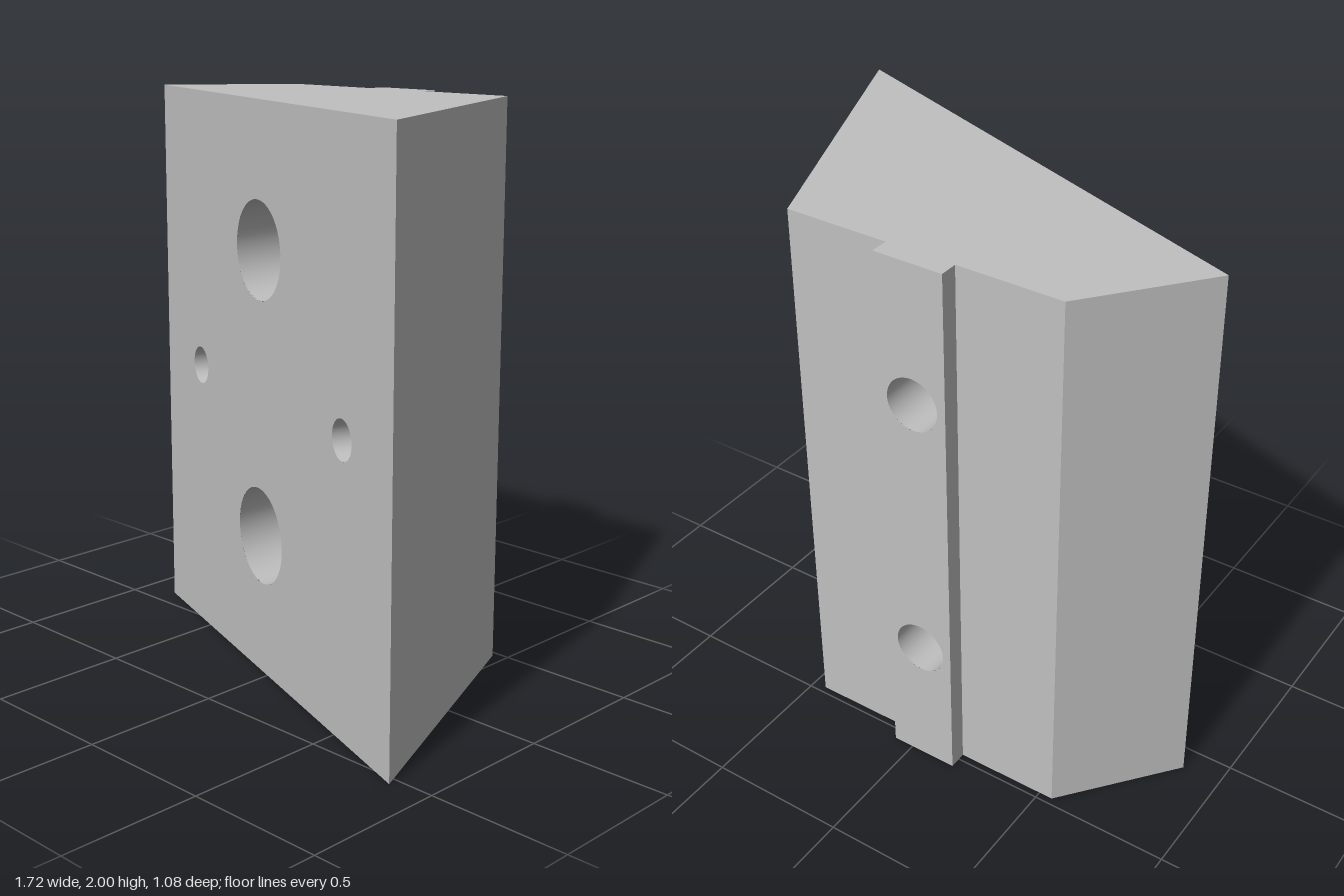
import * as THREE from 'three';

const H = 2, SEG = 48;
// Plan outline as [x, z]; the first edge is the slanted front
const OUTLINE = [
  [-0.86, -0.09], [0.86, 0.535], [0.45, -0.475], [0.075, -0.475],
  [0.075, -0.54], [-0.175, -0.54], [-0.175, -0.475], [-0.55, -0.475],
];
const SLOPE = 0.625 / 1.72, TILT = Math.atan(SLOPE);
const frontZ = (x) => -0.09 + (x + 0.86) * SLOPE;
const BACK_Z = -0.54, FLOOR_Z = -0.2;
const BOLT_X = -0.05, BOLT_Y = [0.5, 1.5], BOLT_R = 0.095, BORE_R = 0.17;
const PIN_X = [-0.55, 0.545], PIN_R = 0.068, PIN_DEPTH = 0.21;

const material = new THREE.MeshStandardMaterial({ color: 0xc0c0c0 });
material.name = 'grey';

function add(parent, name, geometry) {
  const mesh = new THREE.Mesh(geometry, material);
  mesh.name = name;
  parent.add(mesh);
  return mesh;
}

// Rectangle with elliptical holes [x, y, rx, ry]
function plate(x0, x1, holes) {
  const shape = new THREE.Shape([
    new THREE.Vector2(x0, 0), new THREE.Vector2(x1, 0),
    new THREE.Vector2(x1, H), new THREE.Vector2(x0, H),
  ]);
  for (const [x, y, rx, ry] of holes) {
    const path = new THREE.Path();
    path.absellipse(x, y, rx, ry, 0, Math.PI * 2, true);
    shape.holes.push(path);
  }
  return new THREE.ShapeGeometry(shape, SEG);
}

// Inward-facing tube along z from z = 0 (back) to z = depth
function boreWall(radius, depth) {
  const g = new THREE.CylinderGeometry(radius, radius, depth, SEG, 1, true);
  g.rotateX(Math.PI / 2).translate(0, 0, depth / 2);
  g.setIndex(Array.from(g.index.array).reverse());
  const n = g.attributes.normal;
  for (let i = 0; i < n.count; i++) n.setXYZ(i, -n.getX(i), -n.getY(i), -n.getZ(i));
  return g;
}

// Lay the front end of a geometry onto the slanted face
function ontoSlant(g, minZ) {
  const p = g.attributes.position;
  for (let i = 0; i < p.count; i++) if (p.getZ(i) > minZ) p.setZ(i, frontZ(p.getX(i)));
  return g;
}

export function createModel() {
  const model = new THREE.Group();
  model.name = 'wedgeBlock';

  // Top and bottom caps
  const cap = (sign) => new THREE.ShapeGeometry(
    new THREE.Shape(OUTLINE.map(([x, z]) => new THREE.Vector2(x, sign * z))));
  add(model, 'topFace', cap(-1).rotateX(-Math.PI / 2)).position.y = H;
  add(model, 'bottomFace', cap(1).rotateX(Math.PI / 2));

  // Plain walls, skipping the drilled front (0) and rib face (4)
  OUTLINE.forEach(([x, z], i) => {
    if (i === 0 || i === 4) return;
    const [x2, z2] = OUTLINE[(i + 1) % OUTLINE.length];
    const wall = add(model, 'sideWall', new THREE.PlaneGeometry(Math.hypot(x2 - x, z2 - z), H));
    wall.position.set((x + x2) / 2, H / 2, (z + z2) / 2);
    wall.rotation.y = Math.atan2(z - z2, x2 - x);
  });

  // Slanted front with all four openings
  const front = ontoSlant(plate(-0.86, 0.86, [
    ...BOLT_Y.map((y) => [BOLT_X, y, BORE_R, BORE_R]),
    ...PIN_X.map((x) => [x, 1, PIN_R * Math.cos(TILT), PIN_R]),
  ]), -1);
  front.computeVertexNormals();
  add(model, 'frontFace', front);

  // Rib face with the bolt exits
  const rib = plate(-0.075, 0.175, BOLT_Y.map((y) => [-BOLT_X, y, BOLT_R, BOLT_R]));
  add(model, 'ribFace', rib.rotateY(Math.PI).translate(0, 0, BACK_Z));

  // Counterbored bolt holes
  for (const y of BOLT_Y) {
    const hole = new THREE.Group();
    hole.name = 'boltHole';
    model.add(hole);
    const wide = boreWall(BORE_R, 0.4).translate(BOLT_X, y, FLOOR_Z);
    add(hole, 'counterbore', ontoSlant(wide, FLOOR_Z + 0.1));
    add(hole, 'counterboreFloor', new THREE.RingGeometry(BOLT_R, BORE_R, SEG))
      .position.set(BOLT_X, y, FLOOR_Z);
    add(hole, 'throughBore', boreWall(BOLT_R, FLOOR_Z - BACK_Z))
      .position.set(BOLT_X, y, BACK_Z);
  }

  // Blind pin holes square to the slanted front
  for (const x of PIN_X) {
    const hole = new THREE.Group();
    hole.name = 'pinHole';
    hole.position.set(x, 1, frontZ(x));
    hole.rotation.y = -TILT;
    model.add(hole);
    add(hole, 'pinWall', boreWall(PIN_R, PIN_DEPTH)).position.z = -PIN_DEPTH;
    add(hole, 'pinFloor', new THREE.CircleGeometry(PIN_R, SEG)).position.z = -PIN_DEPTH;
  }
  return model;
}
